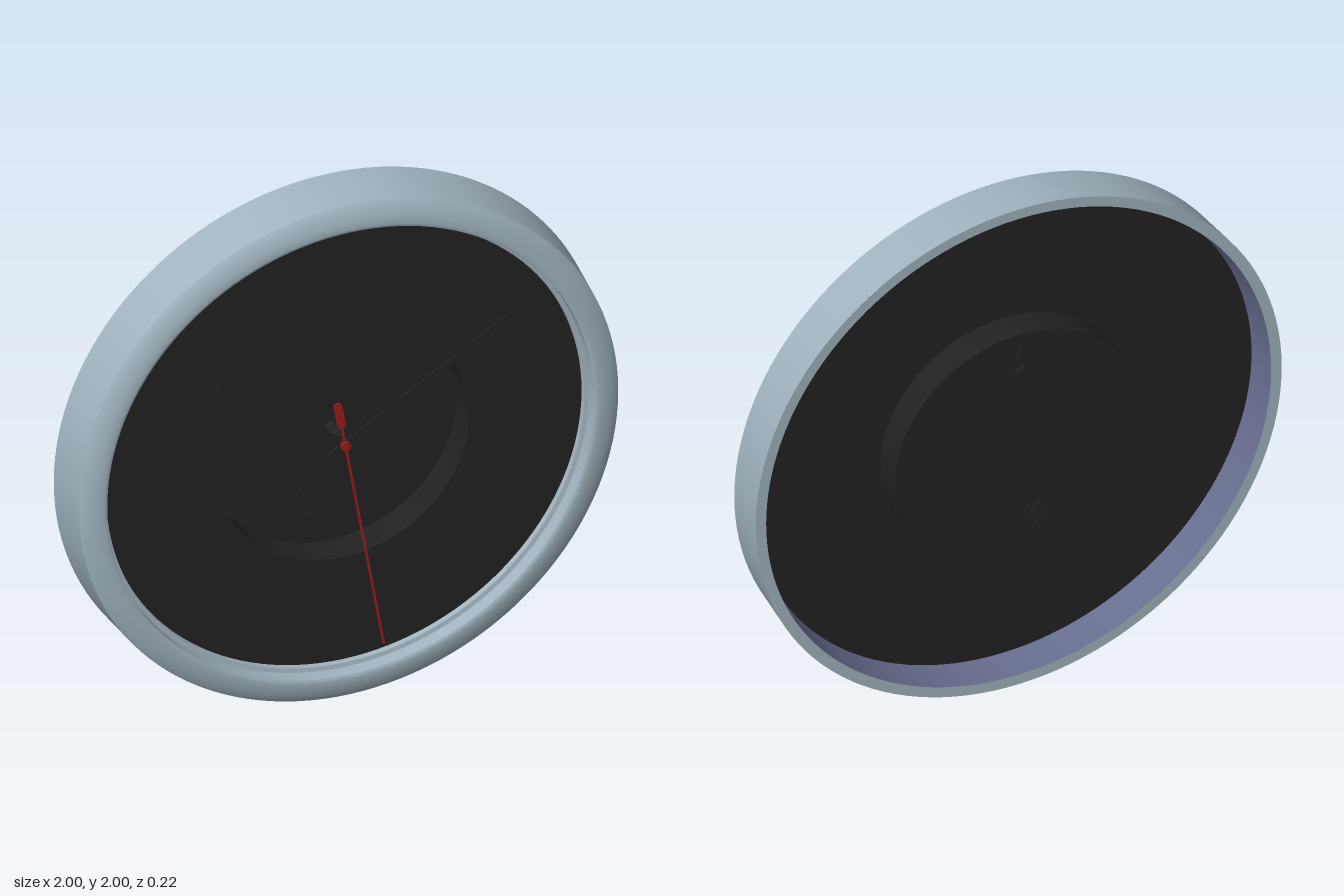
import * as THREE from 'three';
import { toCreasedNormals } from 'three/addons/utils/BufferGeometryUtils.js';

const material = (name, color) => {
  const m = new THREE.MeshStandardMaterial({ color });
  m.name = name;
  return m;
};

export function createModel() {
  const clock = new THREE.Group();
  clock.name = 'wallClock';
  const grey = material('blueGrey', 0xa2b4bf);
  const slate = material('slateLining', 0x676d8e);
  const black = material('black', 0x222222);
  const red = material('red', 0x981c1c);

  const add = (name, geometry, mat, parent = dial) => {
    const mesh = new THREE.Mesh(geometry, mat);
    mesh.name = name;
    parent.add(mesh);
    return mesh;
  };
  // Revolve [radius, z] points round the z axis
  const revolve = (points) => toCreasedNormals(
    new THREE.LatheGeometry(points.map(([r, z]) => new THREE.Vector2(r, z)), 128).rotateX(Math.PI / 2), 0.5);
  // Cylinder along z
  const disc = (r, depth, z, x = 0, y = 0, sides = 32) =>
    new THREE.CylinderGeometry(r, r, depth, sides).rotateX(Math.PI / 2).translate(x, y, z);

  // Everything is built round the clock's centre
  const dial = new THREE.Group();
  dial.name = 'clockBody';
  dial.position.y = 1;
  clock.add(dial);

  // Rim: flared outside, rounded front edge, stepped inner lip
  add('rim', revolve([
    [0.96, -0.108], [1, -0.108], [0.985, 0.08], [0.972, 0.089], [0.95, 0.098], [0.925, 0.104],
    [0.9, 0.107], [0.89, 0.103], [0.888, 0.055], [0.872, 0.052], [0.87, 0.025],
  ]), grey);
  add('rimLining', revolve([[0.945, 0.015], [0.96, -0.108]]), slate);

  // Face plate with the wall of the sunken centre
  add('facePlate', revolve([
    [0.46, -0.088], [0.465, -0.088], [0.465, 0.01], [0.95, 0.01],
    [0.95, 0.032], [0.46, 0.032], [0.46, -0.088],
  ]), black);

  // Floor of the sunken centre, pierced by a keyhole and a round setting hole
  const knobX = -0.065, knobY = -0.29;
  const floor = new THREE.Shape().absarc(0, 0, 0.465, 0, Math.PI * 2);
  const keyhole = new THREE.Path();
  keyhole.moveTo(-0.01, 0.42);
  keyhole.lineTo(-0.01, 0.353);
  keyhole.absarc(0, 0.335, 0.024, 2.0, Math.PI * 2 + 1.14, false);
  keyhole.lineTo(0.01, 0.42);
  keyhole.closePath();
  const settingHole = new THREE.Path().absarc(knobX, knobY, 0.052, 0, Math.PI * 2);
  floor.holes.push(keyhole, settingHole);
  add('centreFloor', toCreasedNormals(
    new THREE.ExtrudeGeometry(floor, { depth: 0.015, bevelEnabled: false, curveSegments: 48 })
      .translate(0, 0, -0.1), 0.5), black);

  // Cover over the keyhole
  add('keyholeCover', new THREE.BoxGeometry(0.1, 0.14, 0.012).translate(0, 0.37, -0.08), black);

  // Setting knob with a grip bar on both sides
  add('settingKnob', disc(0.052, 0.006, -0.0925, knobX, knobY), black);
  const grip = add('settingGrip', new THREE.BoxGeometry(0.018, 0.096, 0.016), black);
  grip.position.set(knobX, knobY, -0.0925);
  grip.rotation.z = 0.7;

  // Spindle from the floor to the hands
  add('spindle', disc(0.02, 0.135, -0.02), black);

  // A hand is a bar from its tail, through the centre, to its tip
  const hand = (name, tipX, tipY, tail, width, z, mat) => {
    const length = Math.hypot(tipX, tipY);
    const pivot = new THREE.Group();
    pivot.name = name;
    pivot.rotation.z = Math.atan2(-tipX, tipY);
    pivot.position.z = z;
    dial.add(pivot);
    add(name + 'Bar', new THREE.BoxGeometry(width, length + tail, 0.006)
      .translate(0, (length - tail) / 2, 0), mat, pivot);
    return pivot;
  };
  hand('hourHand', -0.46, 0.33, 0.08, 0.032, 0.037, black);
  hand('minuteHand', 0.63, 0.39, 0.115, 0.024, 0.045, black);
  const second = hand('secondHand', 0.14, -0.83, 0.1, 0.008, 0.053, red);

  // Rounded counterweight of the second hand
  const weight = new THREE.Shape();
  weight.absarc(0, -0.09, 0.015, 0, Math.PI, false);
  weight.absarc(0, -0.165, 0.015, Math.PI, Math.PI * 2, false);
  add('counterweight', new THREE.ExtrudeGeometry(weight, { depth: 0.008, bevelEnabled: false })
    .translate(0, 0, -0.004), red, second);
  add('handCap', disc(0.018, 0.012, 0.056), red);

  return clock;
}
